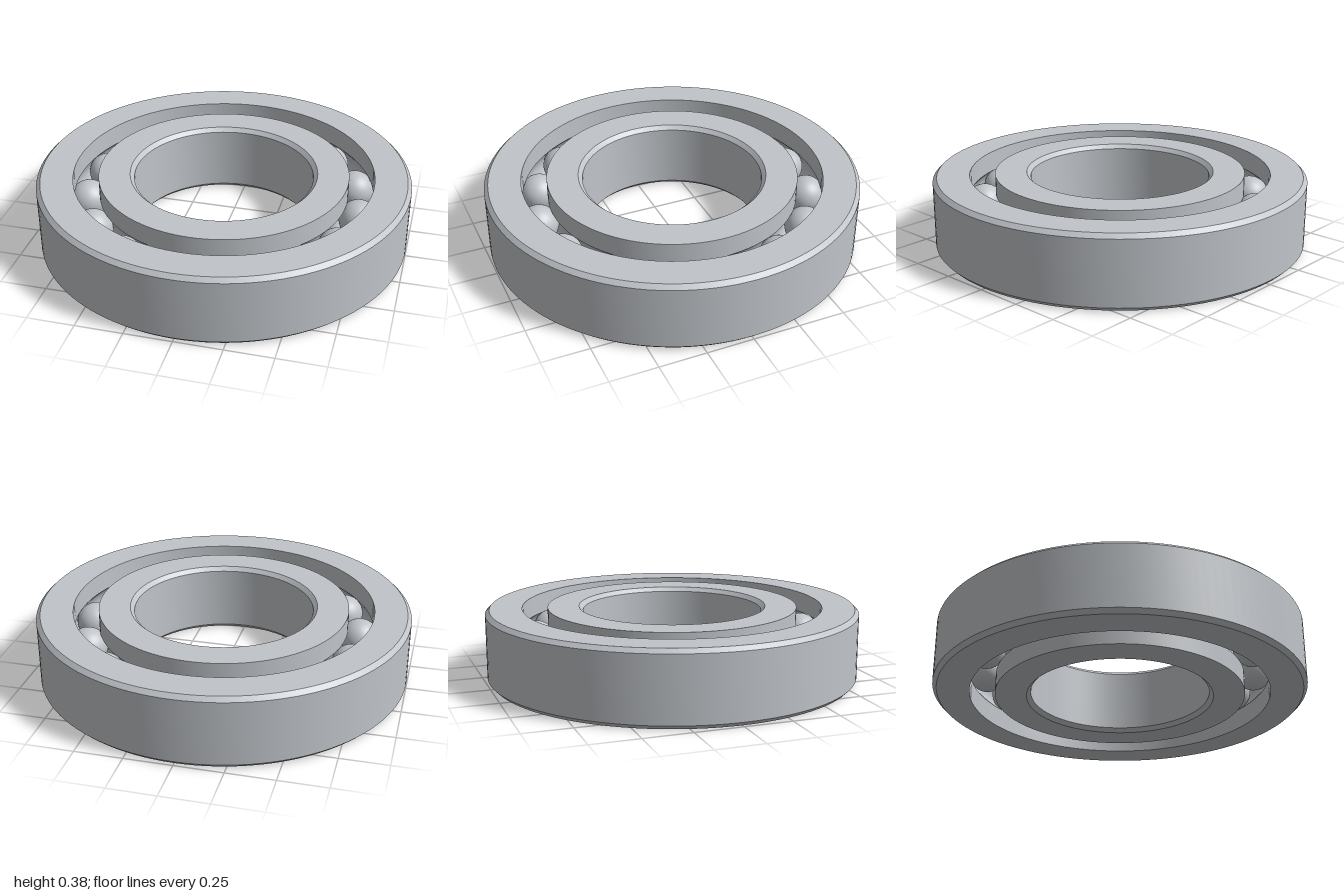
import * as THREE from 'three';
import { toCreasedNormals } from 'three/addons/utils/BufferGeometryUtils.js';

const HEIGHT = 0.385, MID = HEIGHT / 2, CHAMFER = 0.022;
const PITCH = 0.737, BALL = 0.105, BALLS = 15;

// Circular raceway groove from one land edge to the other; side +1 = outer ring, -1 = inner ring
function groove(landRadius, side) {
  const r = BALL + 0.001;
  const a = Math.acos(Math.abs(landRadius - PITCH) / r);
  const points = [];
  for (let i = 0; i <= 12; i++) {
    const t = a * (1 - i / 6);
    points.push([PITCH + side * r * Math.cos(t), MID + side * r * Math.sin(t)]);
  }
  return points;
}

// Closed cross-section, counterclockwise in (radius, y), spun about the axis
function ring(name, profile, material) {
  const points = [...profile, profile[0]].map(([x, y]) => new THREE.Vector2(x, y));
  const geometry = toCreasedNormals(new THREE.LatheGeometry(points, 120), 0.45);
  const mesh = new THREE.Mesh(geometry, material);
  mesh.name = name;
  return mesh;
}

export function createModel() {
  const steel = new THREE.MeshStandardMaterial({ color: 0xc0c4c9 });
  steel.name = 'steel';
  const group = new THREE.Group();
  group.name = 'ballBearing';

  // Outer ring: chamfered outside, grooved inside
  const outerLand = 0.805;
  group.add(ring('outerRing', [
    [outerLand, 0], [1 - CHAMFER, 0], [1, CHAMFER],
    [1, HEIGHT - CHAMFER], [1 - CHAMFER, HEIGHT], [outerLand, HEIGHT],
    ...groove(outerLand, 1),
  ], steel));

  // Inner ring: chamfered bore, grooved outside
  const bore = 0.48, innerLand = 0.67;
  group.add(ring('innerRing', [
    [bore + CHAMFER, 0], [innerLand, 0],
    ...groove(innerLand, -1),
    [innerLand, HEIGHT], [bore + CHAMFER, HEIGHT],
    [bore, HEIGHT - CHAMFER], [bore, CHAMFER],
  ], steel));

  // Balls, evenly spaced around the raceway
  const balls = new THREE.Group();
  balls.name = 'balls';
  const sphere = new THREE.SphereGeometry(BALL, 40, 24);
  for (let i = 0; i < BALLS; i++) {
    const a = (i / BALLS) * Math.PI * 2;
    const ball = new THREE.Mesh(sphere, steel);
    ball.name = 'ball';
    ball.position.set(PITCH * Math.cos(a), MID, PITCH * Math.sin(a));
    balls.add(ball);
  }
  group.add(balls);
  return group;
}
